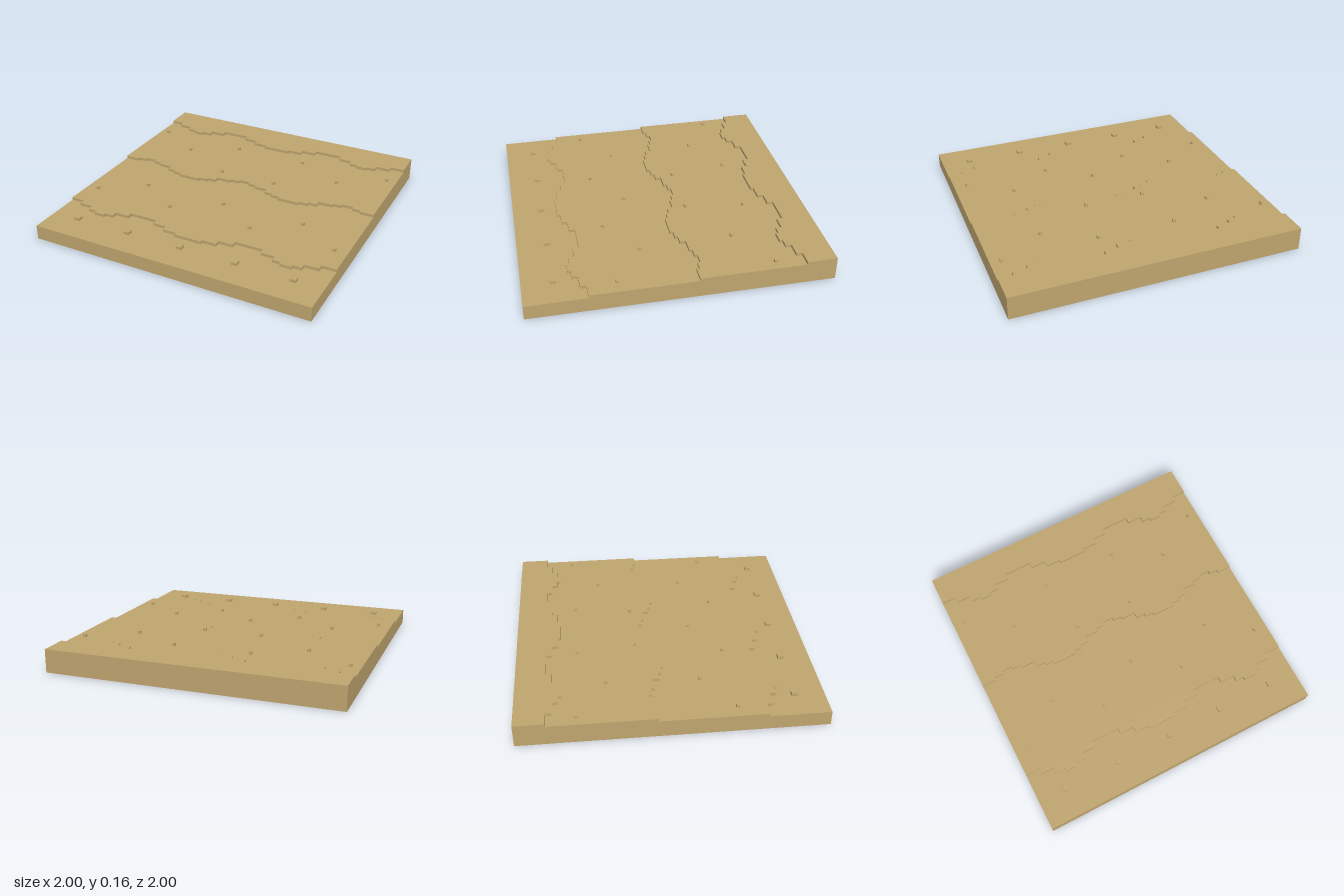
import * as THREE from 'three';

const STEP = 0.02;
const BASE = 0.1;

// Half of each terrace lip, from the middle outwards: [x where the tread ends, z of the tread]
const outerLip = [[0.1, 0.1], [0.2, 0.08], [0.3, 0.04], [0.5, 0], [0.6, 0.04], [0.66, 0.08],
  [0.74, 0.1], [0.8, 0.08], [0.9, 0.04], [1, 0]];
const middleLip = [[0.04, -0.14], [0.1, -0.12], [0.2, -0.1], [0.26, -0.06], [0.32, -0.04],
  [0.48, -0.02], [0.54, -0.04], [0.6, -0.06], [0.7, -0.1], [0.76, -0.12], [0.84, -0.14],
  [0.9, -0.12], [1, -0.1]];

// Slab from the stepped, mirrored lip to the back edge
function terraceGeometry(lip, offset) {
  const half = [];
  let start = 0;
  for (const [end, z] of lip) {
    half.push([start, z + offset], [end, z + offset]);
    start = end;
  }
  const front = [...half.slice(1).reverse().map(([x, z]) => [-x, z]), ...half.slice(1)];
  const outline = [...front, [1, -1], [-1, -1]];
  const shape = new THREE.Shape(outline.map(([x, z]) => new THREE.Vector2(x, -z)));
  const geometry = new THREE.ExtrudeGeometry(shape, { depth: STEP, bevelEnabled: false });
  return geometry.rotateX(-Math.PI / 2);
}

export function createModel() {
  const model = new THREE.Group();
  model.name = 'sandTerrain';
  const sand = new THREE.MeshStandardMaterial({ color: 0xc0a670 });
  sand.name = 'sand';

  const add = (name, geometry, x, y, z) => {
    const mesh = new THREE.Mesh(geometry, sand);
    mesh.name = name;
    mesh.position.set(x, y, z);
    model.add(mesh);
  };

  // Ground slab
  add('base', new THREE.BoxGeometry(2, BASE, 2), 0, BASE / 2, 0);

  // Three terraces rising towards the back
  add('lowerTerrace', terraceGeometry(outerLip, 0.6), 0, BASE, 0);
  add('middleTerrace', terraceGeometry(middleLip, 0), 0, BASE + STEP, 0);
  add('upperTerrace', terraceGeometry(outerLip, -0.8), 0, BASE + 2 * STEP, 0);

  // Rows of square stones: level, size, z, x positions
  const rows = [
    [0, 0.04, 0.8, [-0.8, -0.4, 0, 0.4, 0.8]],
    [1, 0.02, 0.41, [-0.91, -0.31, 0.31, 0.91]],
    [1, 0.02, 0.21, [-0.61, 0.01, 0.61]],
    [2, 0.02, -0.19, [-0.21, 0.21]],
    [2, 0.02, -0.41, [-0.61, 0.61]],
    [2, 0.02, -0.59, [-0.27, 0.27]],
    [2, 0.02, -0.61, [-0.93, 0.93]],
  ];
  for (const [level, size, z, xs] of rows) {
    const stone = new THREE.BoxGeometry(size, STEP, size);
    for (const x of xs) add(size > 0.03 ? 'stone' : 'pebble', stone, x, BASE + (level + 0.5) * STEP, z);
  }
  return model;
}
